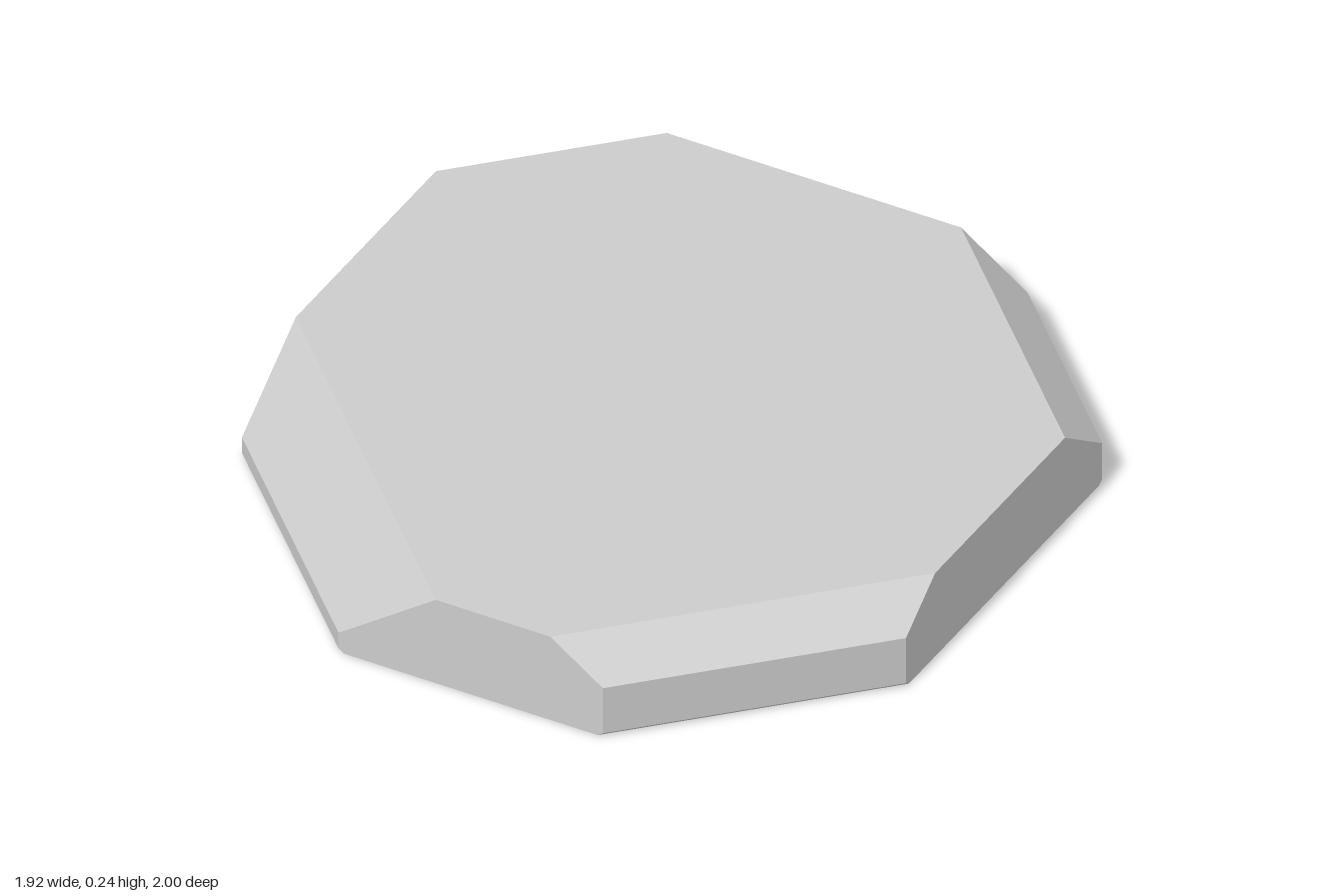
import * as THREE from 'three';

const HEIGHT = 0.24, BASE_CHAMFER = 0.01;

// Half-width of a straight side at height y: vertical wall with 45 degree bevels
const reach = (wall, top, y) =>
  Math.min(wall, top + HEIGHT - y, wall - BASE_CHAMFER + y);

// Eight corners of the slab at height y, anticlockwise seen from above
function section(y) {
  const left = reach(0.957, 0.83, y), right = reach(0.96, 0.775, y);
  const front = reach(1, 0.9, y), back = reach(1, 0.995, y);
  // Vertical diagonal cuts: |x| + |z| = constant
  const fl = 1.285, bl = 1.265, br = 1.29, fr = 1.457;
  return [
    [left, fl - left], [left, left - bl],
    [bl - back, -back], [back - br, -back],
    [-right, right - br], [-right, fr - right],
    [front - fr, front], [fl - front, front],
  ].map(([x, z]) => new THREE.Vector3(x, y, z));
}

function slabGeometry() {
  // Heights at which a bevel begins or ends
  const rings = [0, BASE_CHAMFER, 0.055, 0.113, 0.14, 0.235, HEIGHT].map(section);
  const points = [];
  // Side faces between neighbouring sections
  for (let r = 0; r + 1 < rings.length; r++) {
    const low = rings[r], high = rings[r + 1];
    for (let i = 0; i < 8; i++) {
      const j = (i + 1) % 8;
      points.push(low[i], low[j], high[j], low[i], high[j], high[i]);
    }
  }
  // Flat top and underside
  const top = rings[rings.length - 1], base = rings[0];
  for (let i = 1; i < 7; i++) {
    points.push(top[0], top[i], top[i + 1]);
    points.push(base[0], base[i + 1], base[i]);
  }
  const geometry = new THREE.BufferGeometry().setFromPoints(points);
  geometry.computeVertexNormals();
  return geometry;
}

export function createModel() {
  const group = new THREE.Group();
  group.name = 'bevelledOctagonSlab';
  const slab = new THREE.Mesh(
    slabGeometry(),
    new THREE.MeshStandardMaterial({ color: 0xcccccc, flatShading: true })
  );
  slab.name = 'slab';
  group.add(slab);
  return group;
}
